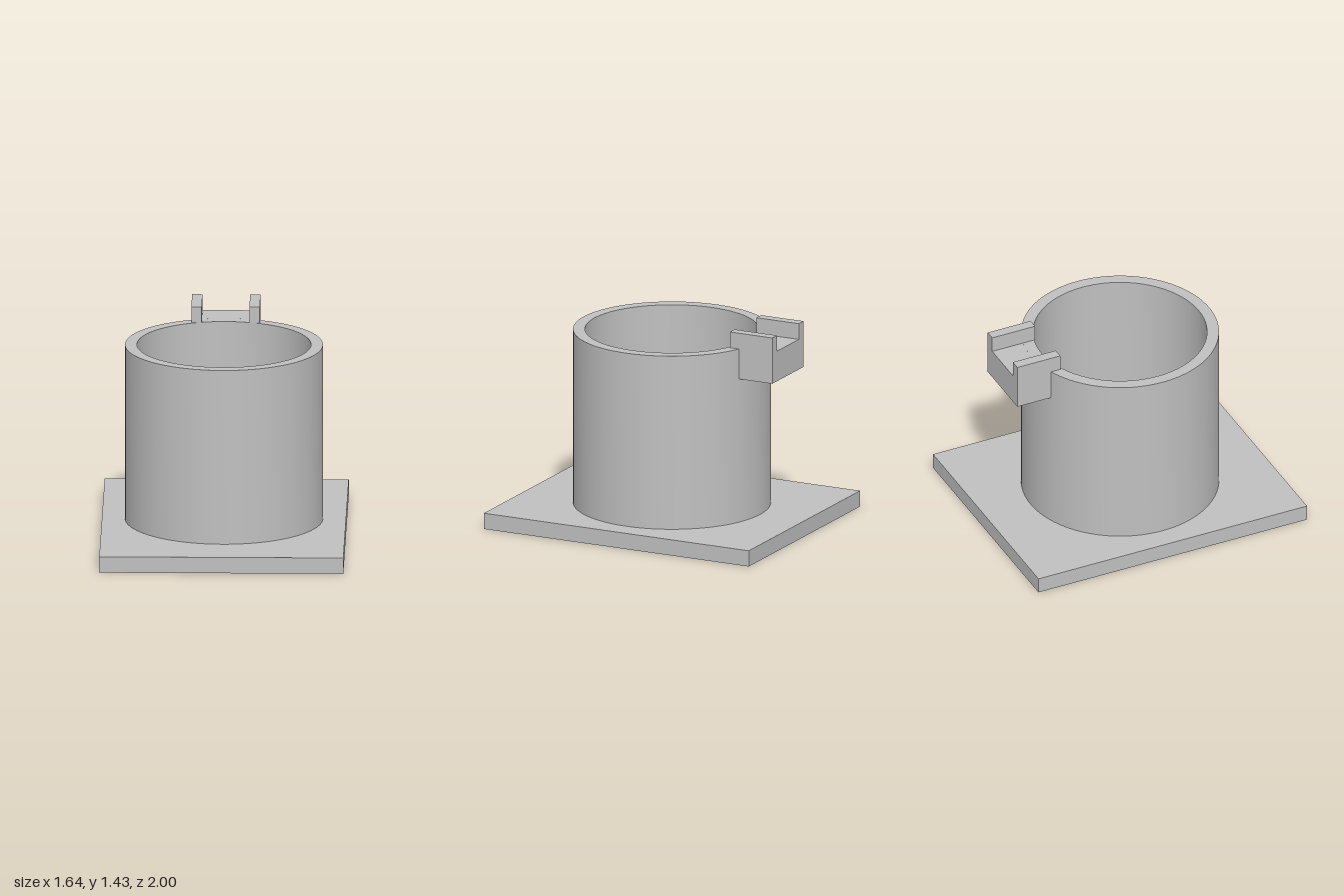
import * as THREE from 'three';
import { toCreasedNormals } from 'three/addons/utils/BufferGeometryUtils.js';

const OUTER = 0.665, BORE = 0.585;
const BASE_TOP = 0.11, TUBE_TOP = 1.32;

// Extrude a plan outline (shape y = -z) upwards from y0 to y1
function extrudeUp(shape, y0, y1) {
  const g = new THREE.ExtrudeGeometry(shape, { depth: y1 - y0, bevelEnabled: false, curveSegments: 48 });
  g.rotateX(-Math.PI / 2);
  g.translate(0, y0, 0);
  return toCreasedNormals(g, 0.5);
}

function addBore(shape) {
  const hole = new THREE.Path();
  hole.absarc(0, 0, BORE, 0, Math.PI * 2, true);
  shape.holes.push(hole);
  return shape;
}

function rectangle(x0, x1, y0, y1) {
  return new THREE.Shape([
    new THREE.Vector2(x0, y0), new THREE.Vector2(x1, y0),
    new THREE.Vector2(x1, y1), new THREE.Vector2(x0, y1),
  ]);
}

export function createModel() {
  const model = new THREE.Group();
  model.name = 'flangedTube';
  const grey = new THREE.MeshStandardMaterial({ color: 0xc0c0c0 });
  grey.name = 'grey';

  const add = (name, geometry, parent = model) => {
    const mesh = new THREE.Mesh(geometry, grey);
    mesh.name = name;
    parent.add(mesh);
  };

  // Base plate with the bore passing through it
  add('basePlate', extrudeUp(addBore(rectangle(-0.82, 0.82, -1, 1)), 0, BASE_TOP));

  // Open tube
  const ring = new THREE.Shape();
  ring.absarc(0, 0, OUTER, 0, Math.PI * 2, false);
  add('tube', extrudeUp(addBore(ring), BASE_TOP, TUBE_TOP));

  // Channel bracket at the back, its block fitted to the tube wall
  const bracket = new THREE.Group();
  bracket.name = 'bracket';
  model.add(bracket);
  const half = 0.23, inner = 0.16, back = 0.875, front = 0.555;
  const a = Math.acos(half / OUTER);
  const block = new THREE.Shape();
  block.moveTo(half, back);
  block.lineTo(-half, back);
  block.absarc(0, 0, OUTER, Math.PI - a, a, true);
  block.closePath();
  add('bracketBlock', extrudeUp(block, 1.11, TUBE_TOP), bracket);

  // Two rails standing on the block and the tube rim
  add('leftRail', extrudeUp(rectangle(inner, half, front, back), TUBE_TOP, 1.43), bracket);
  add('rightRail', extrudeUp(rectangle(-half, -inner, front, back), TUBE_TOP, 1.43), bracket);

  return model;
}
